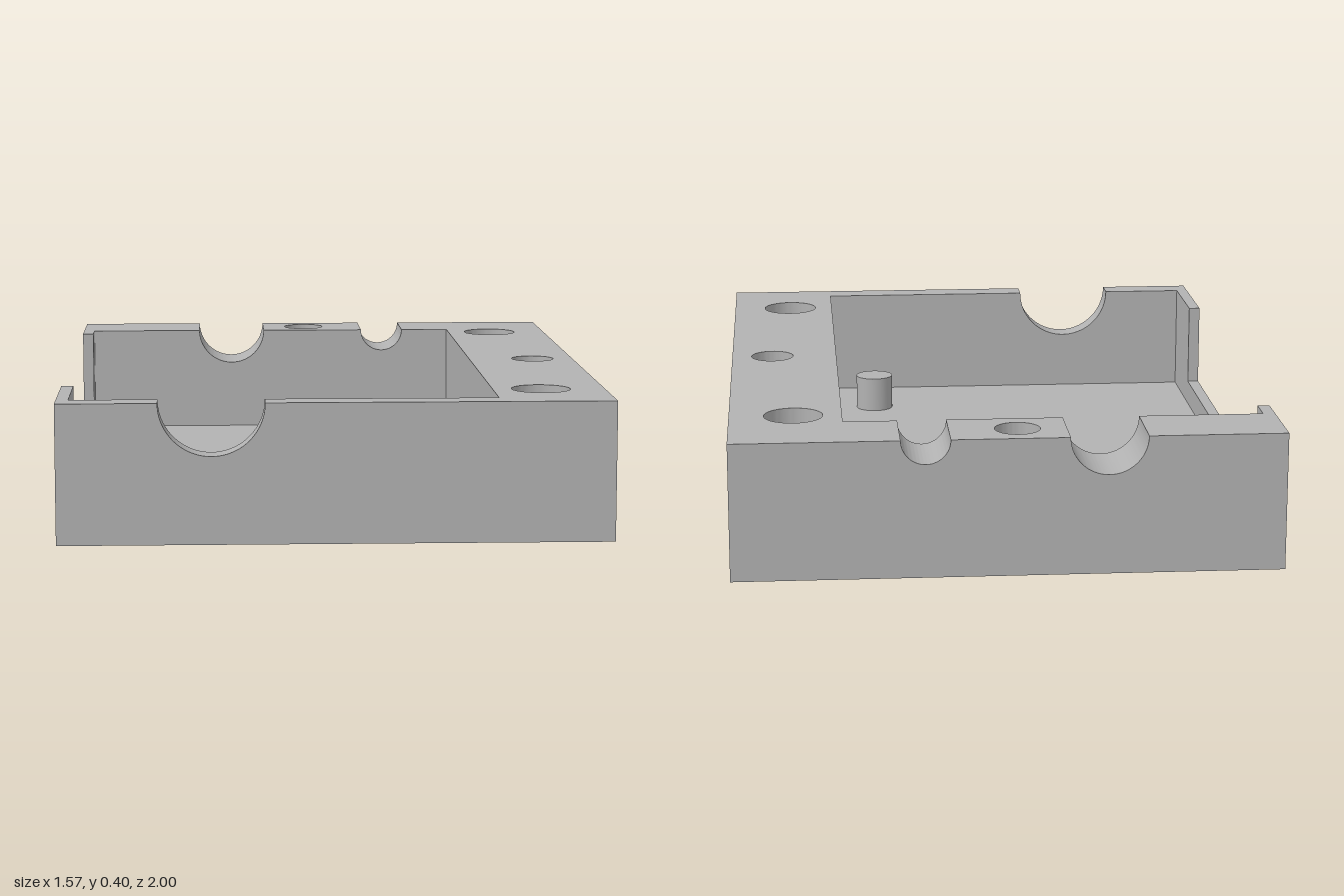
import * as THREE from 'three';
import { toCreasedNormals } from 'three/addons/utils/BufferGeometryUtils.js';

const TOP = 0.4, FLOOR = 0.07, LIP = 0.145, HOLE_BOTTOM = 0.2;
const X = 0.785, Z = 1;                                   // outer half sizes
const IN = { x0: -0.75, x1: 0.46, z0: -0.78, z1: 0.92 };  // cavity

export function createModel() {
  const model = new THREE.Group();
  model.name = 'enclosureBase';
  const grey = new THREE.MeshStandardMaterial({ color: 0xb2b2b2 });
  grey.name = 'grey plastic';

  const add = (name, geometry) => {
    const mesh = new THREE.Mesh(geometry, grey);
    mesh.name = name;
    model.add(mesh);
    return mesh;
  };
  const extrude = (shape, depth) => toCreasedNormals(
    new THREE.ExtrudeGeometry(shape, { depth, bevelEnabled: false, curveSegments: 32 }), 0.6);

  // Plate in plan with round holes [x, z, r], from y0 up to y1
  const plate = (name, x0, x1, z0, z1, y0, y1, holes = []) => {
    const s = new THREE.Shape([[x0, -z1], [x1, -z1], [x1, -z0], [x0, -z0]]
      .map(p => new THREE.Vector2(...p)));
    for (const [x, z, r] of holes) {
      s.holes.push(new THREE.Path().absarc(x, -z, r, 0, Math.PI * 2, true));
    }
    return add(name, extrude(s, y1 - y0).rotateX(-Math.PI / 2).translate(0, y0, 0));
  };

  // Upright wall with a half-round cable channel cut in its top edge
  const channelWall = (name, x0, x1, z0, z1, cx, r) => {
    const s = new THREE.Shape();
    s.moveTo(x0, FLOOR);
    s.lineTo(x1, FLOOR);
    if (x1 - cx - r > 0.001) s.lineTo(x1, TOP);
    s.absarc(cx, TOP, r, 0, Math.PI, true);
    if (cx - r - x0 > 0.001) s.lineTo(x0, TOP);
    s.closePath();
    return add(name, extrude(s, z1 - z0).translate(0, 0, z0));
  };

  const screwHoles = [[0.6, -0.7, 0.085], [0.6, 0.74, 0.085]];
  const sideSocket = [0.66, 0.04, 0.065], backSocket = [-0.03, -0.89, 0.065];

  // Floor and solid side block with through holes
  plate('floor', -X, X, -Z, Z, 0, FLOOR, screwHoles);
  plate('sideBlock', IN.x1, X, -Z, Z, FLOOR, TOP, [...screwHoles, sideSocket]);

  // Back wall: two channels with a socket block between them
  channelWall('backWallWideChannel', -X, -0.17, -Z, IN.z0, -0.28, 0.11);
  plate('backSocketBlock', -0.17, 0.165, -Z, IN.z0, FLOOR, TOP, [backSocket]);
  channelWall('backWallNarrowChannel', 0.165, IN.x1, -Z, IN.z0, 0.235, 0.07);

  // Front wall
  channelWall('frontWall', -X, IN.x1, IN.z1, Z, -0.35, 0.15);

  // Thin side wall with a long cut-out above a low lip
  const side = new THREE.Shape([
    [-IN.z1, FLOOR], [-IN.z0, FLOOR], [-IN.z0, TOP], [0.69, TOP],
    [0.69, LIP], [-0.63, LIP], [-0.63, TOP], [-IN.z1, TOP],
  ].map(p => new THREE.Vector2(...p)));
  add('thinSideWall', extrude(side, IN.x0 + X).rotateY(Math.PI / 2).translate(-X, 0, 0));

  // Bottoms of the blind sockets
  for (const [x, z, r] of [sideSocket, backSocket]) {
    add('socketBottom', new THREE.CircleGeometry(r, 48).rotateX(-Math.PI / 2))
      .position.set(x, HOLE_BOTTOM, z);
  }

  // Locating pegs on the floor
  for (const z of [-0.54, 0.66]) {
    add('peg', new THREE.CylinderGeometry(0.06, 0.06, 0.18 - FLOOR, 48))
      .position.set(0.32, (0.18 + FLOOR) / 2, z);
  }

  return model;
}
